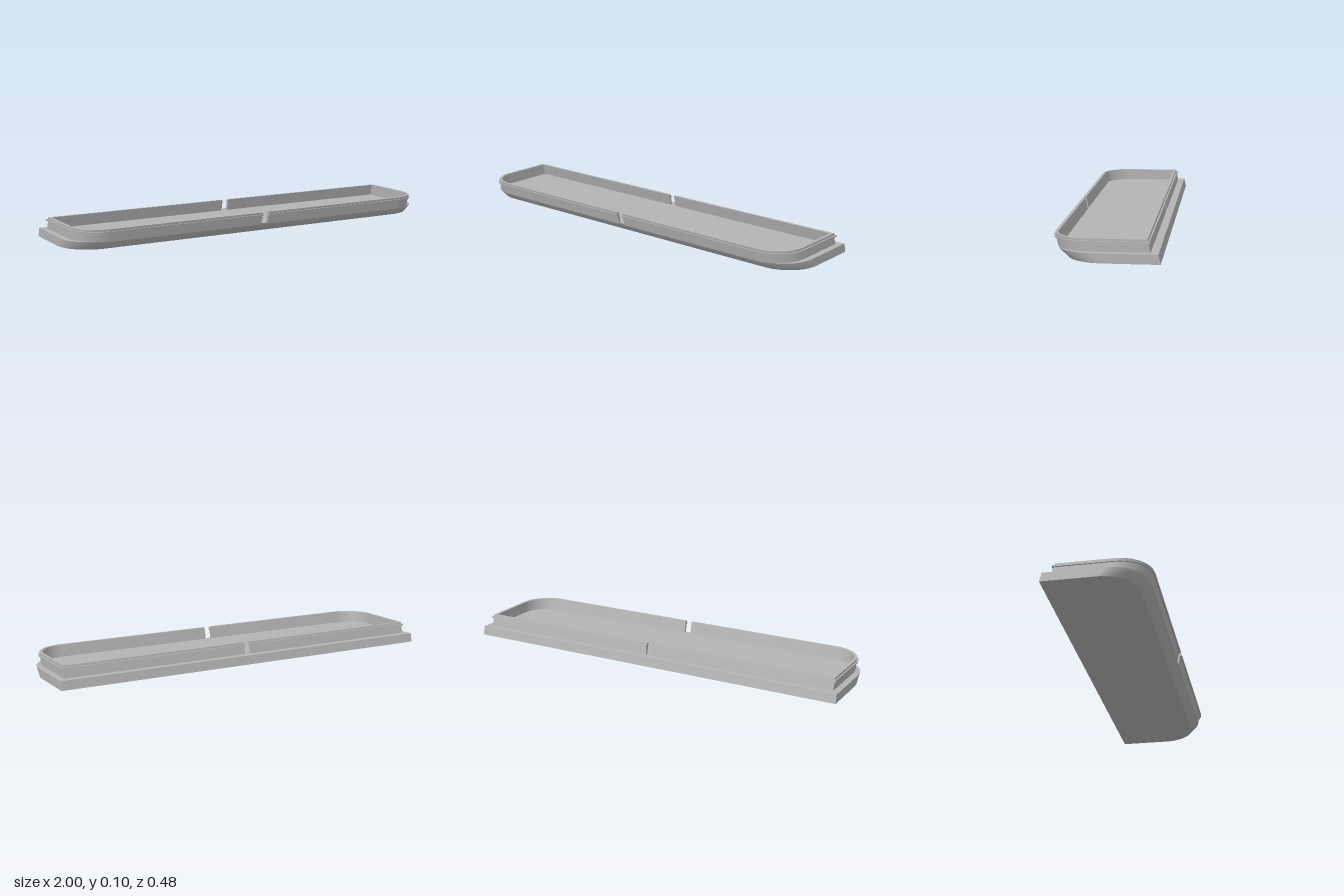
import * as THREE from 'three';
import { toCreasedNormals } from 'three/addons/utils/BufferGeometryUtils.js';

const FLOOR = 0.043;   // top of the base plate
const LEAN = 0.23;     // forward lean per unit of height
const GAP = 0.017;     // half width of the slots in the rim

// Half plan outline (+x side): front middle, round the front corner, to back middle
function halfPlan(w, back, front, r, x0) {
  const pts = [[x0, front]];
  const n = 16;
  for (let i = 0; i <= n; i++) {
    const a = (i / n) * Math.PI / 2;
    pts.push([w - r + r * Math.sin(a), front - r + r * Math.cos(a)]);
  }
  pts.push([w, back], [x0, back]);
  return pts;
}

// Closed solid through equal-length convex rings, capped at both ends
function loft(rings) {
  const n = rings[0].length;
  const tris = [];
  for (let i = 0; i < rings.length - 1; i++) {
    for (let j = 0; j < n; j++) {
      const k = (j + 1) % n;
      const a = rings[i][j], b = rings[i][k], c = rings[i + 1][k], d = rings[i + 1][j];
      tris.push([a, b, c], [a, c, d]);
    }
  }
  const last = rings[rings.length - 1];
  for (let j = 1; j < n - 1; j++) {
    tris.push([rings[0][0], rings[0][j + 1], rings[0][j]], [last[0], last[j], last[j + 1]]);
  }
  // Signed volume tells whether the faces point outwards
  let volume = 0;
  for (const [a, b, c] of tris) {
    volume += a[0] * (b[1] * c[2] - b[2] * c[1])
      + a[1] * (b[2] * c[0] - b[0] * c[2])
      + a[2] * (b[0] * c[1] - b[1] * c[0]);
  }
  if (volume < 0) tris.forEach((t) => t.reverse());
  const geo = new THREE.BufferGeometry();
  geo.setAttribute('position', new THREE.Float32BufferAttribute(tris.flat(2), 3));
  return toCreasedNormals(geo, 0.45);
}

// One half of the rim: profile of [outward offset, height] swept round the plan
function sweep(profile, side) {
  const paths = profile.map(([o, y]) =>
    halfPlan(0.97 + o, -0.195 - o, 0.222 + o, 0.15 + o, GAP)
      .map(([x, z]) => [x * side, y, z + LEAN * (y - FLOOR)]));
  return loft(paths[0].map((_, i) => paths.map((p) => p[i])));
}

export function createModel() {
  const group = new THREE.Group();
  const grey = new THREE.MeshStandardMaterial({ color: 0xb4b4b4 });
  grey.name = 'grey';
  const add = (name, geo) => {
    const mesh = new THREE.Mesh(geo, grey);
    mesh.name = name;
    group.add(mesh);
  };

  // Base plate, with a front edge that slopes outwards as it rises
  const level = (y, back, front) => {
    const half = halfPlan(1, back, front, 0.17, 0).slice(1, -1);
    const full = [...half, ...half.map(([x, z]) => [-x, z]).reverse()];
    return full.map(([x, z]) => [x, y, z]);
  };
  add('basePlate', loft([
    level(0, -0.24, 0.178),
    level(0.038, -0.231, 0.217),
    level(FLOOR, -0.23, 0.219),
  ]));

  // Leaning rim in two halves, each with a thin bead near the top
  for (const [label, side] of [['left', 1], ['right', -1]]) {
    add(label + 'Rim', sweep([[0, 0.038], [0, 0.1], [-0.014, 0.1], [-0.014, 0.038]], side));
    add(label + 'RimBead', sweep([[-0.004, 0.082], [0.007, 0.082], [0.007, 0.09], [-0.004, 0.09]], side));
  }
  return group;
}
